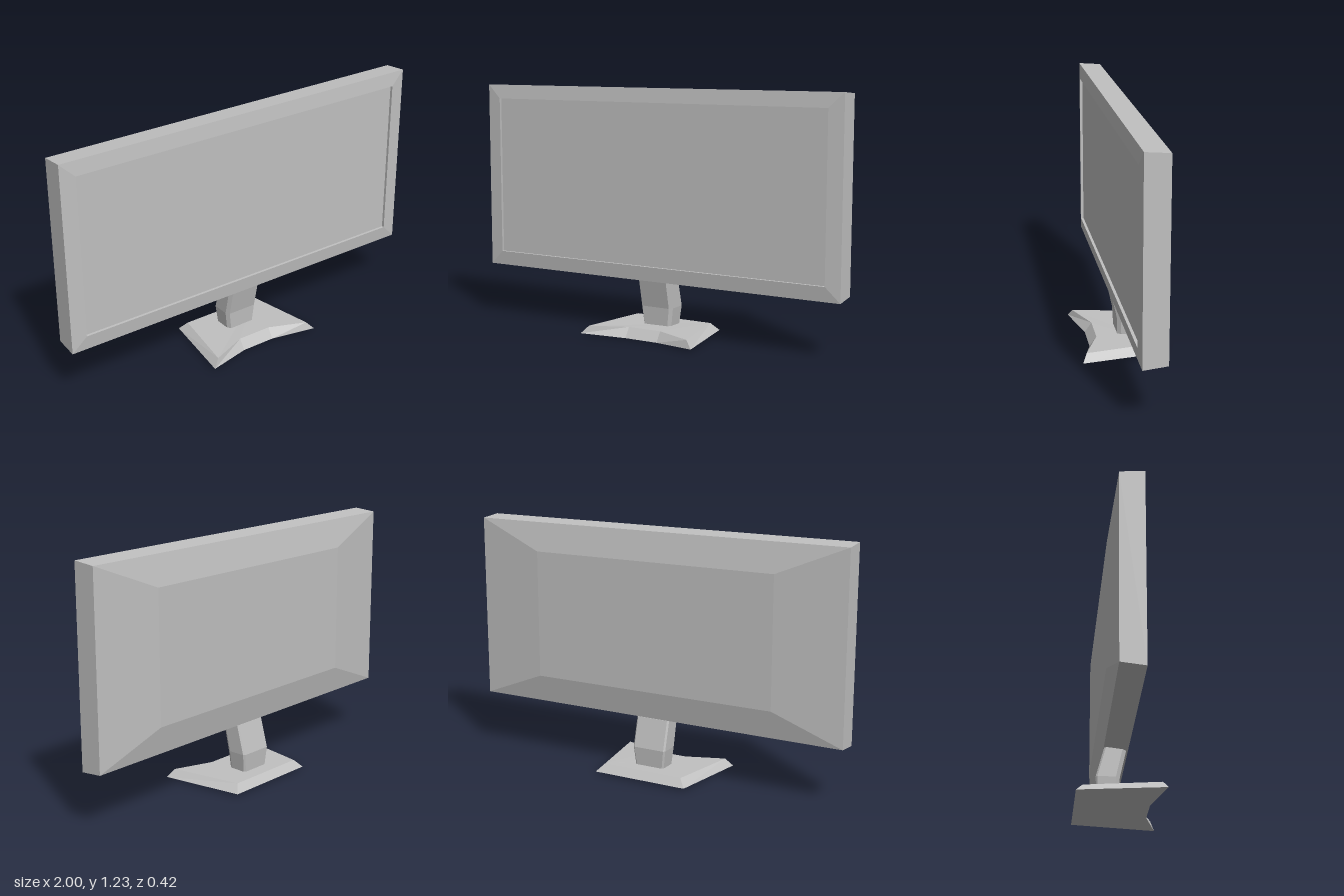
import * as THREE from 'three';

// Skin a stack of counter-clockwise cross-sections (stacked along +z) and cap both ends.
function loft(rings) {
  const pos = [];
  const tri = (...pts) => pts.forEach((p) => pos.push(...p));
  for (let r = 0; r < rings.length - 1; r++) {
    const a = rings[r], b = rings[r + 1];
    a.forEach((p, i) => {
      const j = (i + 1) % a.length;
      tri(p, a[j], b[j]);
      tri(p, b[j], b[i]);
    });
  }
  const cap = (ring, flip) => {
    const flat = ring.map(([x, y]) => new THREE.Vector2(x, y));
    for (const [a, b, c] of THREE.ShapeUtils.triangulateShape(flat, [])) {
      if (flip) tri(ring[a], ring[c], ring[b]);
      else tri(ring[a], ring[b], ring[c]);
    }
  };
  cap(rings[0], true);
  cap(rings[rings.length - 1], false);
  const g = new THREE.BufferGeometry();
  g.setAttribute('position', new THREE.Float32BufferAttribute(pos, 3));
  g.computeVertexNormals();
  return g;
}

// Upright rectangle at depth z
const rect = (hw, y0, y1, z) => [[-hw, y0, z], [hw, y0, z], [hw, y1, z], [-hw, y1, z]];

// Horizontal outline from its +x half, listed front to back as [x, y, z], mirrored to -x
function outline(half) {
  const right = half.map(([x, y, z]) => [x, -z, y]);
  const left = right.map(([x, v, w]) => [-x, v, w]).reverse();
  return [...right, ...left];
}

export function createModel() {
  const group = new THREE.Group();
  const grey = new THREE.MeshStandardMaterial({ color: 0xc0c0c0 });
  grey.name = 'plasticGrey';
  grey.flatShading = true;

  const add = (name, geometry) => {
    const mesh = new THREE.Mesh(geometry, grey);
    mesh.name = name;
    group.add(mesh);
  };

  // Display: tapered back, straight sides, raised bezel and recessed panel
  add('display', loft([
    rect(0.65, 0.43, 1.08, -0.102),
    rect(1.0, 0.29, 1.225, -0.073),
    rect(1.0, 0.277, 1.234, 0.043),
    rect(0.925, 0.35, 1.162, 0.051),
    rect(0.925, 0.35, 1.162, 0.037),
  ]));

  // Neck: bent column with chamfered edges, [y, half width, front z, back z]
  const neckLevels = [
    [0.04, 0.078, 0.0, -0.105],
    [0.14, 0.09, 0.004, -0.111],
    [0.288, 0.09, 0.037, -0.071],
  ];
  add('neck', loft(neckLevels.map(([y, w, zf, zb]) => outline([
    [w - 0.013, y, zf],
    [w, y, zf - 0.019],
    [w, y, zb + 0.008],
    [w - 0.008, y, zb],
  ]))).rotateX(-Math.PI / 2));

  // Base: bevelled foot with a notched front edge
  add('base', loft([
    outline([[0.09, 0, 0.145], [0.315, 0.01, 0.207], [0.25, 0.01, -0.21]]),
    outline([[0.09, 0.05, 0.11], [0.28, 0.048, 0.185], [0.215, 0.048, -0.178]]),
  ]).rotateX(-Math.PI / 2));

  return group;
}
